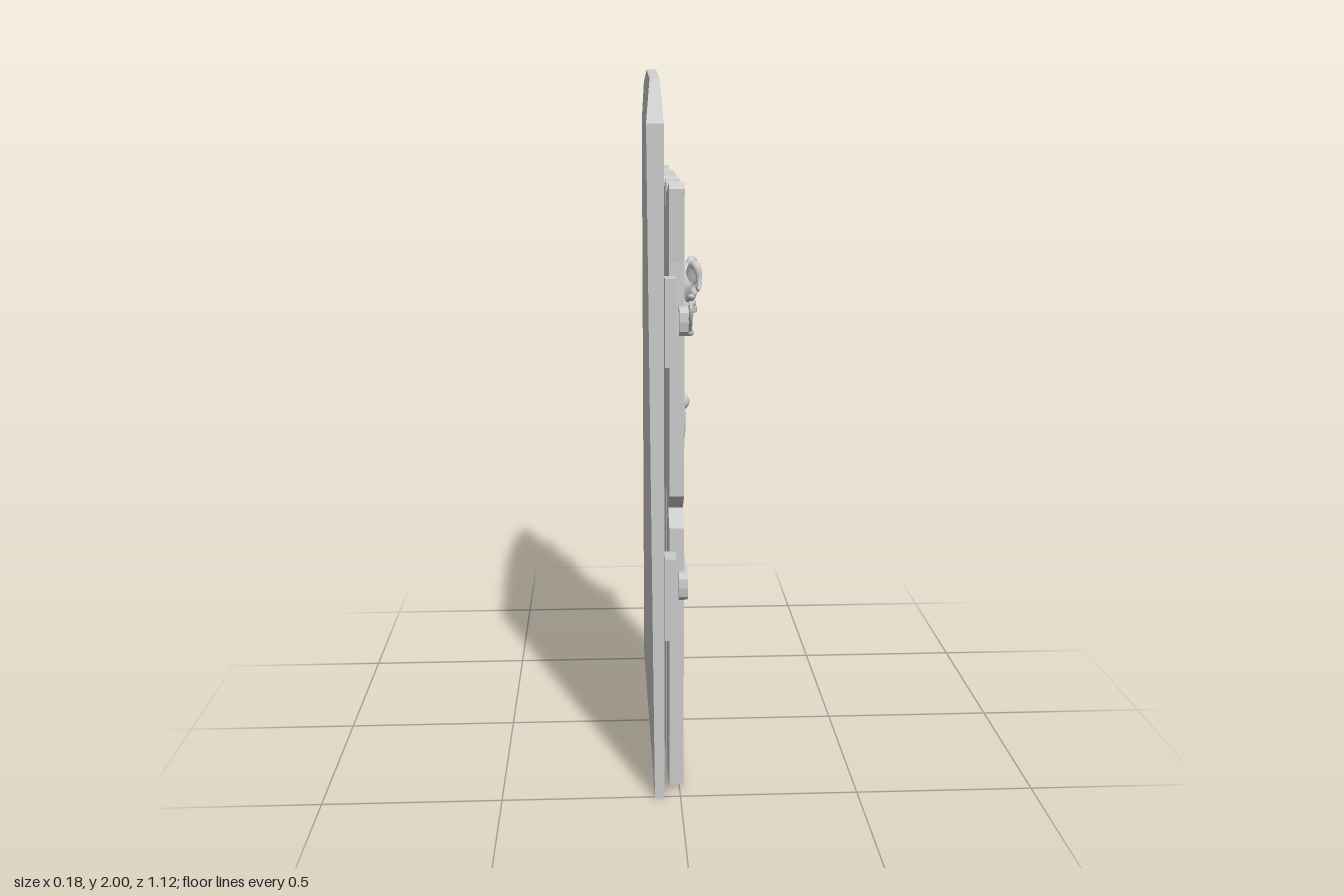
import * as THREE from 'three';

const grey = new THREE.MeshStandardMaterial({ color: 0xcccccc });
const flat = new THREE.MeshStandardMaterial({ color: 0xcccccc, flatShading: true });

// The door is laid out facing +z (x across, y up), then turned to face +x.
export function createModel() {
  const root = new THREE.Group();
  const door = new THREE.Group();
  door.name = 'door';
  door.rotation.y = Math.PI / 2;
  root.add(door);

  const add = (name, geo, x = 0, y = 0, z = 0, mat = grey, parent = door) => {
    const m = new THREE.Mesh(geo, mat);
    m.name = name;
    m.position.set(x, y, z);
    parent.add(m);
    return m;
  };
  const vecs = (pts) => pts.map(([x, y]) => new THREE.Vector2(x, y));
  const slab = (pts, z0, z1) => new THREE.ExtrudeGeometry(new THREE.Shape(vecs(pts)),
    { depth: z1 - z0, bevelEnabled: false }).translate(0, 0, z0);

  // Arched back panel, one shoulder swelling to the rear
  const panel = slab([[-0.51, 0], [0.56, 0], [0.56, 1.855], [0.3, 1.97], [0.02, 2],
    [-0.24, 1.97], [-0.51, 1.855]], -0.072, -0.045);
  const pp = panel.attributes.position;
  for (let i = 0; i < pp.count; i++) {
    if (pp.getX(i) < -0.5 && pp.getY(i) > 1.8 && pp.getZ(i) < -0.06) pp.setZ(i, -0.09);
  }
  panel.computeVertexNormals();
  add('backPanel', panel, 0, 0, 0, flat);

  // Worn planks: back outline [x, y], with optional shift [dx, dy] of the front edge for chips
  const plank = (pts) => {
    const back = pts.map(([x, y]) => [x, y, -0.03]);
    const front = pts.map(([x, y, dx = 0, dy = 0]) => [x + dx, y + dy, 0.01]);
    const out = [];
    for (const [a, b, c] of THREE.ShapeUtils.triangulateShape(vecs(front), [])) {
      out.push(...front[a], ...front[b], ...front[c]);
    }
    for (const [a, b, c] of THREE.ShapeUtils.triangulateShape(vecs(back), [])) {
      out.push(...back[c], ...back[b], ...back[a]);
    }
    pts.forEach((_, i) => {
      const j = (i + 1) % pts.length;
      out.push(...back[i], ...back[j], ...front[j], ...back[i], ...front[j], ...front[i]);
    });
    const g = new THREE.BufferGeometry();
    g.setAttribute('position', new THREE.Float32BufferAttribute(out, 3));
    g.computeVertexNormals();
    add('plank', g, 0, 0, 0, flat);
  };
  plank([[-0.47, 0.02], [-0.44, 0.01], [-0.31, 0.01], [-0.28, 0.02], [-0.29, 0.4], [-0.288, 0.8],
    [-0.295, 1.3], [-0.288, 1.69], [-0.3, 1.7], [-0.34, 1.67], [-0.38, 1.69], [-0.46, 1.705],
    [-0.478, 1.69], [-0.47, 1.5], [-0.478, 1.3], [-0.478, 0.87], [-0.413, 0.82], [-0.478, 0.78],
    [-0.478, 0.4]]);
  plank([[-0.27, 0.01], [-0.1, 0.01], [-0.085, 0.02], [-0.088, 0.6], [-0.09, 1.2], [-0.085, 1.69],
    [-0.097, 1.705], [-0.138, 1.675], [-0.164, 1.7], [-0.2, 1.675], [-0.238, 1.705], [-0.265, 1.7],
    [-0.28, 1.55], [-0.275, 1.3], [-0.278, 0.85], [-0.278, 0.6], [-0.278, 0.37, 0.018], [-0.275, 0.12]]);
  plank([[-0.068, 0.02, 0, 0.02], [-0.02, 0.01, 0, 0.01], [0.035, 0.01, 0, 0.02], [0.075, 0.05, 0, 0.06],
    [0.118, 0.01, 0, 0.02], [0.13, 0.04], [0.128, 0.25, -0.01], [0.128, 0.55, -0.01], [0.122, 0.7],
    [0.128, 0.92, -0.015], [0.122, 1.3], [0.127, 1.38, -0.032], [0.127, 1.68, -0.01], [0.118, 1.71],
    [0.075, 1.71, 0, -0.02], [0.035, 1.71], [-0.055, 1.705], [-0.068, 1.67], [-0.07, 1.4, 0.035],
    [-0.068, 1.3, 0.035], [-0.068, 1.15, 0.022], [-0.068, 0.94], [0.01, 0.905, 0.01],
    [-0.068, 0.87, 0.01], [-0.07, 0.82, 0.025], [-0.068, 0.65], [-0.062, 0.4]]);
  plank([[0.138, 0.03], [0.155, 0.015], [0.185, 0.05], [0.21, 0.035], [0.25, 0.01], [0.32, 0.015],
    [0.325, 0.5], [0.325, 0.86], [0.262, 0.905], [0.325, 0.94], [0.32, 1.3], [0.325, 1.66],
    [0.312, 1.705], [0.17, 1.71], [0.138, 1.69], [0.145, 1.4], [0.138, 1], [0.142, 0.5]]);
  plank([[0.333, 0.015], [0.5, 0.01], [0.517, 0.03], [0.518, 0.2], [0.49, 0.225], [0.518, 0.24],
    [0.516, 0.6], [0.52, 1], [0.518, 1.38, -0.003], [0.52, 1.5, -0.027], [0.52, 1.6, -0.005],
    [0.482, 1.625], [0.515, 1.645], [0.508, 1.71], [0.37, 1.705], [0.335, 1.69], [0.338, 1.3],
    [0.333, 0.8], [0.335, 0.5], [0.35, 0.33], [0.345, 0.2]]);

  // Iron straps with their hinge blocks
  for (const y of [1.348, 0.62]) {
    add('strap', slab([[-0.495, -0.038], [0.515, -0.038], [0.53, -0.03], [0.542, -0.02], [0.54, 0],
      [0.545, 0.02], [0.53, 0.035], [0.515, 0.038], [-0.495, 0.038], [-0.51, 0.025],
      [-0.512, 0], [-0.508, -0.025]], -0.005, 0.019), 0, y, 0, flat);
    add('hinge', new THREE.BoxGeometry(0.066, 0.23, 0.03), -0.527, y + (y > 1 ? 0.005 : -0.015), -0.03);
  }

  // Pull ring on a plate
  const handle = new THREE.Group();
  handle.name = 'pullHandle';
  handle.position.set(0.433, 0, 0);
  door.add(handle);
  add('handlePlate', new THREE.BoxGeometry(0.12, 0.175, 0.025), 0, 0.943, 0.0225, grey, handle);
  add('handleKnob', new THREE.SphereGeometry(0.029, 20, 14), 0, 0.938, 0.05, grey, handle);
  add('handleRing', new THREE.TorusGeometry(0.064, 0.013, 12, 36), 0, 0.88, 0.049, grey, handle);

  // Horned skull knocker
  const knocker = new THREE.Group();
  knocker.name = 'skullKnocker';
  knocker.position.set(0.033, 1.37, 0);
  door.add(knocker);
  const half = [[0, -0.15], [0.03, -0.13], [0.052, -0.09], [0.065, -0.055], [0.058, -0.02],
    [0.066, 0.03], [0.06, 0.075], [0.04, 0.085], [0.036, 0.1], [0.016, 0.1], [0, 0.117]];
  const mirrored = half.slice(1, -1).reverse().map(([x, y]) => [-x, y]);
  add('scallopedPlate', slab([...half, ...mirrored], 0.01, 0.026), 0, 0, 0, flat, knocker);

  // Cranium with eye and nose hollows pressed into the sphere
  const skull = new THREE.SphereGeometry(1, 48, 36).scale(0.058, 0.066, 0.048);
  const sp = skull.attributes.position;
  const hollows = [[-0.028, -0.005, 0.016, 0.024], [0.028, -0.005, 0.016, 0.024], [0, -0.032, 0.01, 0.016]];
  for (let i = 0; i < sp.count; i++) {
    const x = sp.getX(i), y = sp.getY(i), z = sp.getZ(i);
    if (z <= 0) continue;
    const dent = hollows.reduce((sum, [hx, hy, r, depth]) => {
      const q = ((x - hx) ** 2 + (y - hy) ** 2) / (r * r);
      return sum + depth * Math.exp(-q * q);
    }, 0);
    sp.setXYZ(i, x * (y < 0 ? 1 + y * 4 : 1), y, z - dent);
  }
  skull.computeVertexNormals();
  add('cranium', skull, 0, 0.01, 0.034, grey, knocker);
  add('upperJaw', new THREE.SphereGeometry(1, 20, 14).scale(0.03, 0.02, 0.03), 0, -0.047, 0.044, grey, knocker);
  add('chin', new THREE.SphereGeometry(1, 20, 14).scale(0.028, 0.018, 0.028), 0, -0.083, 0.038, grey, knocker);
  for (let i = -2; i <= 2; i++) {
    add('tooth', new THREE.CapsuleGeometry(0.0045, 0.012, 3, 8), i * 0.01, -0.064,
      0.072 - i * i * 0.0025, grey, knocker);
  }

  // Tapered tube: each ring shrinks towards the curve
  const taper = (pts, r0) => {
    const curve = new THREE.CatmullRomCurve3(pts.map((p) => new THREE.Vector3(...p)));
    const n = 28, sides = 12;
    const g = new THREE.TubeGeometry(curve, n, r0, sides);
    const p = g.attributes.position, v = new THREE.Vector3();
    for (let i = 0; i < p.count; i++) {
      const t = Math.floor(i / (sides + 1)) / n;
      const c = curve.getPointAt(t);
      v.fromBufferAttribute(p, i).sub(c).multiplyScalar(1.02 - t).add(c);
      p.setXYZ(i, v.x, v.y, v.z);
    }
    g.computeVertexNormals();
    return g;
  };
  for (const s of [-1, 1]) {
    add('horn', taper([[s * 0.035, 0.03, 0.055], [s * 0.058, 0.073, 0.062], [s * 0.075, 0.07, 0.07],
      [s * 0.082, 0.03, 0.078], [s * 0.1, 0.005, 0.074], [s * 0.133, 0.025, 0.062]], 0.019), 0, 0, 0, grey, knocker);
    add('brow', new THREE.SphereGeometry(1, 14, 10).scale(0.022, 0.008, 0.01), s * 0.026, 0.027, 0.072,
      grey, knocker).rotation.z = s * 0.3;
    add('cheekbone', new THREE.SphereGeometry(1, 14, 10).scale(0.018, 0.01, 0.012), s * 0.035, -0.026,
      0.056, grey, knocker).rotation.z = s * 0.5;
  }

  // Teardrop knocker hanging from the jaw
  const drop = new THREE.CatmullRomCurve3([[-0.035, -0.04], [-0.062, -0.055], [-0.048, -0.095],
    [0, -0.13], [0.048, -0.095], [0.062, -0.055], [0.035, -0.04]]
    .map(([x, y]) => new THREE.Vector3(x, y, 0.055)));
  add('knockerLoop', new THREE.TubeGeometry(drop, 40, 0.0055, 8), 0, 0, 0, grey, knocker);
  add('knockerBall', new THREE.SphereGeometry(0.012, 14, 10), 0, -0.135, 0.056, grey, knocker);

  return root;
}
